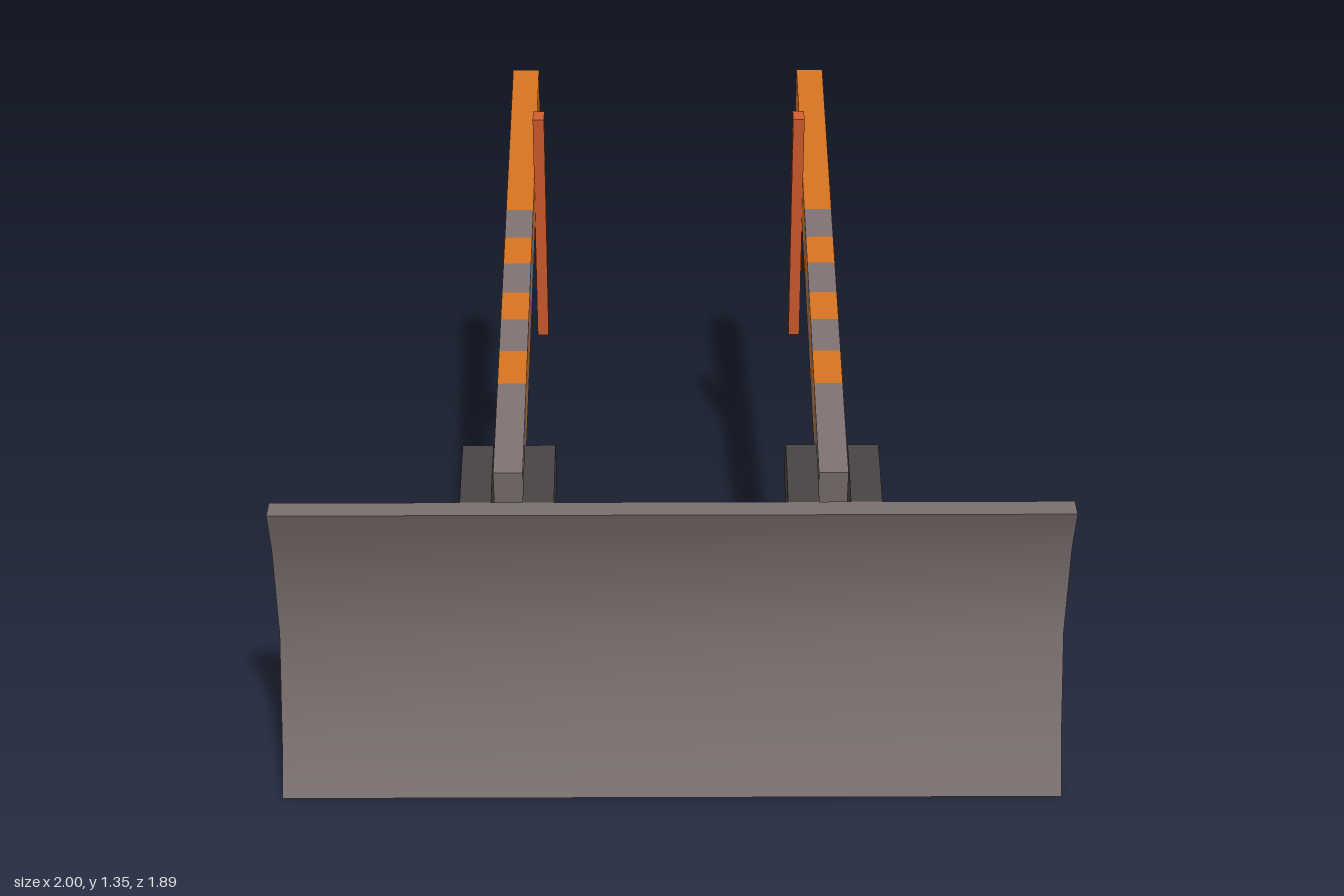
import * as THREE from 'three';
import { toCreasedNormals } from 'three/addons/utils/BufferGeometryUtils.js';

const mat = (name, color) => Object.assign(new THREE.MeshStandardMaterial({ color }), { name });

// Side profile given as [z, y] points, extruded across x from x0 to x1
function prism(points, x0, x1) {
  const shape = new THREE.Shape(points.map(([z, y]) => new THREE.Vector2(-z, y)));
  return new THREE.ExtrudeGeometry(shape, { depth: x1 - x0, bevelEnabled: false })
    .rotateY(Math.PI / 2).translate(x0, 0, 0);
}

// Rectangular bar profile between two [z, y] points
function bar([z0, y0], [z1, y1], width) {
  const len = Math.hypot(z1 - z0, y1 - y0);
  const nz = -(y1 - y0) / len * width / 2, ny = (z1 - z0) / len * width / 2;
  return [[z0 + nz, y0 + ny], [z1 + nz, y1 + ny], [z1 - nz, y1 - ny], [z0 - nz, y0 - ny]];
}

export function createModel() {
  const steel = mat('steel', 0x7a6e6e);
  const orange = mat('orange paint', 0xd0701f);
  const dark = mat('dark iron', 0x454140);
  const rodMetal = mat('bare rod', 0xb8ae9f);
  const red = mat('red marker', 0xcc5a2c);

  const model = new THREE.Group();
  model.name = 'plowAttachment';
  const add = (parent, name, geometry, material) => {
    const mesh = new THREE.Mesh(geometry, material);
    mesh.name = name;
    parent.add(mesh);
  };

  // Curved blade
  const blade = [[0.945, 0], [0.88, 0.125], [0.805, 0.405], [0.875, 0.69], [0.945, 0.822],
    [0.877, 0.822], [0.805, 0.69], [0.735, 0.405], [0.81, 0.125], [0.88, 0]];
  add(model, 'blade', toCreasedNormals(prism(blade, -1, 1), 0.7), steel);

  // Upper and lower edges of the sloping arm
  const top = z => [z, 1.275 - 0.2455 * (z + 0.92)];
  const bottom = z => [z, 1.147 - 0.2455 * (z + 0.945)];
  // Stripe boundaries, front to back, on each edge
  const topZ = [0.785, 0.447, 0.318, 0.192, 0.08, -0.042, -0.153, -0.273, -0.917, -0.92];
  const bottomZ = [0.755, 0.54, 0.41, 0.31, 0.187, 0.082, -0.035, -0.155, -0.942, -0.945];

  const upperBracket = [[0.877, 0.82], [0.795, 0.85], [0.675, 0.878], [0.63, 0.817],
    [0.637, 0.756], [0.81, 0.7]];
  const lowerBracket = [[0.745, 0.46], [0.585, 0.452], [0.54, 0.39], [0.565, 0.32], [0.755, 0.335]];

  for (const [side, x] of [[-1, -0.41], [1, 0.405]]) {
    const arm = new THREE.Group();
    arm.name = side > 0 ? 'leftArm' : 'rightArm';
    arm.position.x = x;
    model.add(arm);

    // Striped beam
    for (let i = 0; i < topZ.length - 1; i++) {
      const profile = [top(topZ[i]), top(topZ[i + 1]), bottom(bottomZ[i + 1]), bottom(bottomZ[i])];
      add(arm, 'beamSection', prism(profile, -0.037, 0.037), i % 2 ? orange : steel);
    }

    // Bracket plates on both sides of the beam and the ram
    for (const s of [-1, 1]) {
      const plate = (a, b) => [Math.min(s * a, s * b), Math.max(s * a, s * b)];
      add(arm, 'upperBracket', prism(upperBracket, ...plate(0.039, 0.117)), dark);
      add(arm, 'lowerBracket', prism(lowerBracket, ...plate(0.033, 0.067)), dark);
    }

    // Hydraulic ram
    add(arm, 'ramBody', prism(bar([0.66, 0.402], [0.47, 0.635], 0.12), -0.032, 0.032), dark);
    add(arm, 'ramRod', prism(bar([0.48, 0.623], [0.272, 0.88], 0.08), -0.022, 0.022), rodMetal);

    // Marker post on the inner face of the beam
    const post = prism(bar([-0.494, 0.648], [-0.398, 1.342], 0.048),
      side > 0 ? -0.067 : 0.036, side > 0 ? -0.036 : 0.067);
    add(arm, 'markerPost', post, red);
  }
  return model;
}
